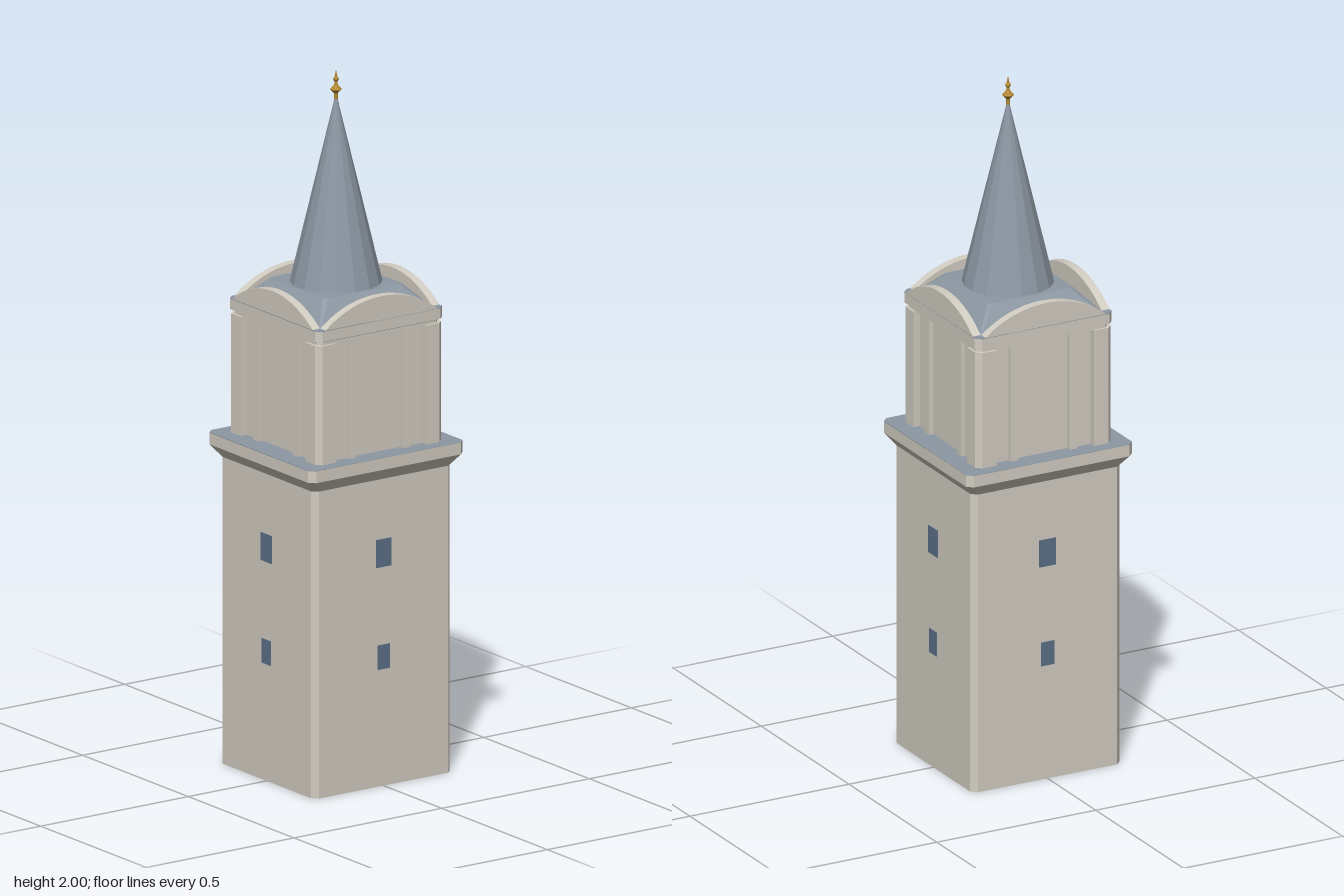
import * as THREE from 'three';

const paint = (name, color, side = THREE.FrontSide) => {
  const m = new THREE.MeshStandardMaterial({ color, side, flatShading: true });
  m.name = name;
  return m;
};

// Corners of a rectangle with cut corners, running from +x towards +z
function cutRect(hx, hz, c) {
  return [[hx, -hz + c], [hx, hz - c], [hx - c, hz], [-hx + c, hz],
    [-hx, hz - c], [-hx, -hz + c], [-hx + c, -hz], [hx - c, -hz]];
}

// Stack of cut rectangles [halfX, halfZ, cut, y], with optional top face
function loft(levels, cap = false) {
  const pos = [];
  const rings = levels.map(([hx, hz, c, y]) => cutRect(hx, hz, c).map(([x, z]) => [x, y, z]));
  for (let k = 0; k < rings.length - 1; k++) {
    const lo = rings[k], hi = rings[k + 1];
    for (let i = 0; i < 8; i++) {
      const j = (i + 1) % 8;
      pos.push(...lo[i], ...hi[i], ...hi[j], ...lo[i], ...hi[j], ...lo[j]);
    }
  }
  if (cap) {
    const top = rings[rings.length - 1];
    for (let i = 1; i < 7; i++) pos.push(...top[0], ...top[i + 1], ...top[i]);
  }
  const g = new THREE.BufferGeometry();
  g.setAttribute('position', new THREE.Float32BufferAttribute(pos, 3));
  g.computeVertexNormals();
  return g;
}

export function createModel() {
  const stone = paint('stone', 0xd2cdc2, THREE.DoubleSide);
  const slate = paint('slate', 0x8d98a4, THREE.DoubleSide);
  const glass = paint('windowBlue', 0x5c7088);
  const gold = paint('gold', 0xb58b35);

  const tower = new THREE.Group();
  tower.name = 'tower';
  const add = (name, geometry, material, parent = tower) => {
    const mesh = new THREE.Mesh(geometry, material);
    mesh.name = name;
    parent.add(mesh);
    return mesh;
  };

  // Shaft, open underneath, and its flared cornice
  add('shaft', loft([[0.225, 0.235, 0.016, 0], [0.225, 0.235, 0.016, 0.88]]), stone);
  add('cornice', loft([[0.225, 0.235, 0.016, 0.88], [0.249, 0.261, 0.016, 0.914],
    [0.249, 0.261, 0.016, 0.948]]), stone);
  add('corniceTop', loft([[0.249, 0.261, 0.016, 0.947], [0.249, 0.261, 0.016, 0.949]], true), slate);

  // Belfry: one plan with corner piers, grooves, pilasters and recessed panels
  const half = [[0.08, 0.19], [0.08, 0.205], [0.105, 0.205], [0.105, 0.193],
    [0.153, 0.193], [0.153, 0.213], [0.198, 0.213]];
  const side = [...half.map(([u, d]) => [-u, d]).reverse(), ...half];
  const plan = [];
  for (let k = 0; k < 4; k++) {
    const a = -k * Math.PI / 2;
    for (const [u, d] of side) {
      plan.push(new THREE.Vector2(u * Math.cos(a) - d * Math.sin(a), u * Math.sin(a) + d * Math.cos(a)));
    }
  }
  const belfry = new THREE.ExtrudeGeometry(new THREE.Shape(plan), { depth: 0.342, bevelEnabled: false });
  belfry.rotateX(-Math.PI / 2).translate(0, 0.948, 0);
  add('belfry', belfry, stone);

  // Slab over the belfry
  add('slab', loft([[0.19, 0.19, 0.015, 1.29], [0.206, 0.206, 0.015, 1.29], [0.206, 0.206, 0.015, 1.298],
    [0.215, 0.215, 0.015, 1.302], [0.215, 0.215, 0.015, 1.332]]), stone);
  add('slabTop', loft([[0.215, 0.215, 0.015, 1.332], [0.215, 0.215, 0.015, 1.334]], true), slate);

  // Curved gables, and windows, on all four sides
  const w = 0.19, rise = 0.068, r = (w * w + rise * rise) / (2 * rise);
  const a0 = Math.asin(w / r);
  const arc = new THREE.Shape();
  arc.moveTo(-w, 0);
  arc.lineTo(w, 0);
  arc.absarc(0, rise - r, r, Math.PI / 2 - a0, Math.PI / 2 + a0, false);
  const gable = new THREE.ExtrudeGeometry(arc, { depth: 0.025, bevelEnabled: false, curveSegments: 12 });
  gable.translate(0, 1.333, 0.19);
  for (let k = 0; k < 4; k++) {
    const face = new THREE.Group();
    face.name = ['front', 'left', 'back', 'right'][k] + 'Face';
    face.rotation.y = k * Math.PI / 2;
    tower.add(face);
    add('gable', gable, stone, face);
    const wall = k % 2 ? 0.225 : 0.235;
    for (const [name, width, height, y] of [['upperWindow', 0.052, 0.08, 0.668], ['lowerWindow', 0.042, 0.07, 0.37]]) {
      add(name, new THREE.BoxGeometry(width, height, 0.004), glass, face).position.set(0, y, wall);
    }
  }

  // Hipped roof and spire
  add('roof', loft([[0.19, 0.19, 0.006, 1.334], [0.133, 0.133, 0.01, 1.395]], true), slate);
  const spire = new THREE.ConeGeometry(0.128, 0.54, 16, 1, true);
  spire.rotateY(Math.PI / 16);
  add('spire', spire, slate).position.y = 1.665;

  // Finial: spike with two beads
  const outline = [[0, 1.915], [0.005, 1.915], [0.005, 1.932], [0.017, 1.944], [0.005, 1.957],
    [0.004, 1.966], [0.009, 1.973], [0.004, 1.98], [0, 2]];
  add('finial', new THREE.LatheGeometry(outline.map(([x, y]) => new THREE.Vector2(x, y)), 6, Math.PI / 6), gold);

  return tower;
}
